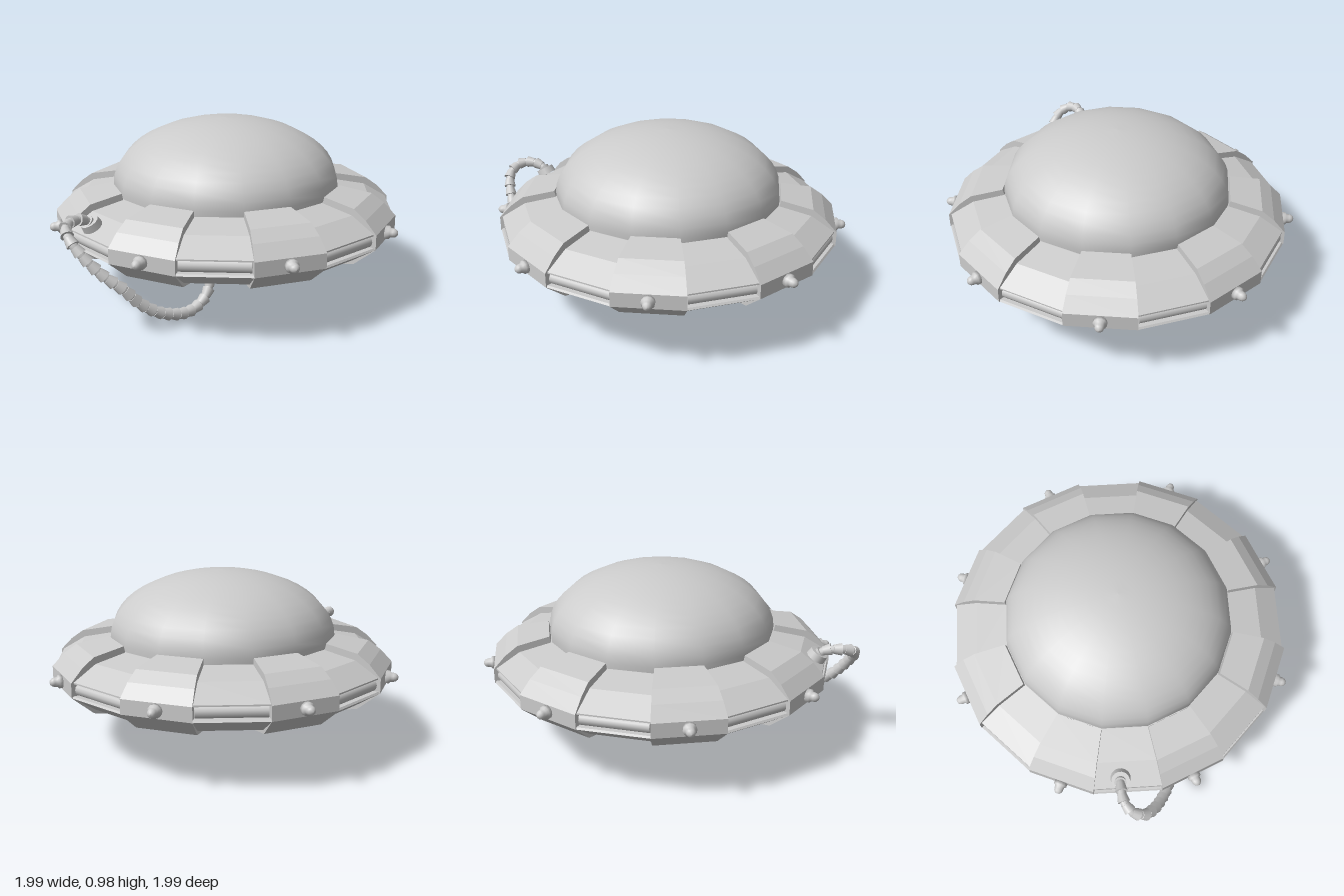
import * as THREE from 'three';

const SIDES = 16, STEP = Math.PI * 2 / SIDES;
const flat = new THREE.MeshStandardMaterial({ color: 0xcccccc, flatShading: true, side: THREE.DoubleSide });
const smooth = new THREE.MeshStandardMaterial({ color: 0xcccccc, side: THREE.DoubleSide });
const points = (list) => list.map(([x, y]) => new THREE.Vector2(x, y));
const UP = new THREE.Vector3(0, 1, 0);

function add(parent, name, geometry, material) {
  const mesh = new THREE.Mesh(geometry, material);
  mesh.name = name;
  parent.add(mesh);
  return mesh;
}

// Places an object at a point with its y axis along a direction
function aim(object, position, direction) {
  object.position.copy(position);
  object.quaternion.setFromUnitVectors(UP, direction.clone().normalize());
}

// One raised slab of the disc: a swept profile closed by two end walls
function createPanel(phi) {
  const panel = new THREE.Group();
  panel.name = 'raisedPanel';
  const profile = points([
    [0.62, 0.25], [0.84, 0.3], [0.965, 0.405], [0.965, 0.485],
    [0.9, 0.553], [0.83, 0.603], [0.65, 0.635], [0.64, 0.59],
  ]);
  add(panel, 'panelShell', new THREE.LatheGeometry([...profile, profile[0]], 1, phi, STEP), flat);
  for (const angle of [phi, phi + STEP]) {
    add(panel, 'panelEndWall', new THREE.ShapeGeometry(new THREE.Shape(profile)), flat)
      .rotation.y = angle - Math.PI / 2;
  }
  return panel;
}

export function createModel() {
  const model = new THREE.Group();
  model.name = 'saucer';

  // Disc with hollow neck below and a groove around the rim
  add(model, 'hull', new THREE.LatheGeometry(points([
    [0, 0.21], [0.245, 0.21], [0.255, 0.14], [0.27, 0.14], [0.305, 0.18], [0.37, 0.245],
    [0.62, 0.258], [0.83, 0.318], [0.962, 0.405], [0.955, 0.415], [0.91, 0.415],
    [0.91, 0.48], [0.95, 0.48], [0.95, 0.488], [0.82, 0.566], [0.64, 0.6], [0.55, 0.6],
  ]), SIDES), flat);

  // Dome
  const dome = [];
  for (let i = 0; i <= 12; i++) {
    const a = i / 12 * Math.PI / 2;
    dome.push([0.64 * Math.cos(a), 0.63 + 0.355 * Math.sin(a)]);
  }
  add(model, 'dome', new THREE.LatheGeometry(points([[0.635, 0.58], ...dome]), SIDES), smooth);

  // Alternating raised panels with lamps, and grooves with rods
  const lampProfile = points([
    [0, 0], [0.036, 0], [0.036, 0.022], [0.026, 0.03], [0.025, 0.046],
    [0.021, 0.058], [0.012, 0.067], [0, 0.07],
  ]);
  for (let k = 0; k < SIDES; k += 2) {
    model.add(createPanel(k * STEP));

    const lampAngle = (k + 0.5) * STEP;
    const out = new THREE.Vector3(Math.sin(lampAngle), 0, Math.cos(lampAngle));
    const lamp = add(model, 'lamp', new THREE.LatheGeometry(lampProfile, 12), smooth);
    aim(lamp, out.clone().multiplyScalar(0.943).setY(0.447), out);

    const rodAngle = (k + 1.5) * STEP, rodRadius = 0.915;
    const rodLength = 2 * rodRadius * Math.sin(STEP / 2);
    const rod = add(model, 'rimRod', new THREE.CylinderGeometry(0.033, 0.033, rodLength, 12), smooth);
    const side = new THREE.Vector3(Math.cos(rodAngle), 0, -Math.sin(rodAngle));
    const reach = rodRadius * Math.cos(STEP / 2);
    aim(rod, new THREE.Vector3(Math.sin(rodAngle) * reach, 0.447, Math.cos(rodAngle) * reach), side);
  }

  // Ribbed hose from the upper deck round the rim to the neck
  const hose = new THREE.Group();
  hose.name = 'hose';
  model.add(hose);
  const path = new THREE.CatmullRomCurve3([
    [-0.75, 0.53, 0.455], [-0.8, 0.575, 0.487], [-0.86, 0.585, 0.54], [-0.885, 0.57, 0.6],
    [-0.865, 0.53, 0.66], [-0.81, 0.46, 0.69], [-0.72, 0.36, 0.7], [-0.61, 0.265, 0.69],
    [-0.54, 0.18, 0.66], [-0.44, 0.1, 0.615], [-0.33, 0.048, 0.54], [-0.25, 0.036, 0.47],
    [-0.18, 0.07, 0.41], [-0.145, 0.13, 0.37], [-0.14, 0.22, 0.33],
  ].map((p) => new THREE.Vector3(...p)));
  add(hose, 'hoseCore', new THREE.TubeGeometry(path, 90, 0.023, 10), smooth);
  const count = 26, pitch = path.getLength() / count;
  for (let i = 0; i < count; i++) {
    const t = (i + 0.5) / count;
    const rib = add(hose, 'hoseRib', new THREE.CylinderGeometry(0.034, 0.025, pitch * 0.8, 12), smooth);
    aim(rib, path.getPointAt(t), path.getTangentAt(t));
  }

  // Sockets at both hose ends
  const deckSocket = add(hose, 'deckSocket', new THREE.CylinderGeometry(0.05, 0.055, 0.04, 16), smooth);
  aim(deckSocket, new THREE.Vector3(-0.765, 0.545, 0.465), new THREE.Vector3(-0.42, 0.85, 0.26));
  const neckSocket = add(hose, 'neckSocket', new THREE.CylinderGeometry(0.05, 0.05, 0.045, 16), smooth);
  aim(neckSocket, new THREE.Vector3(-0.14, 0.21, 0.335), new THREE.Vector3(0.05, 1, -0.35));

  return model;
}
